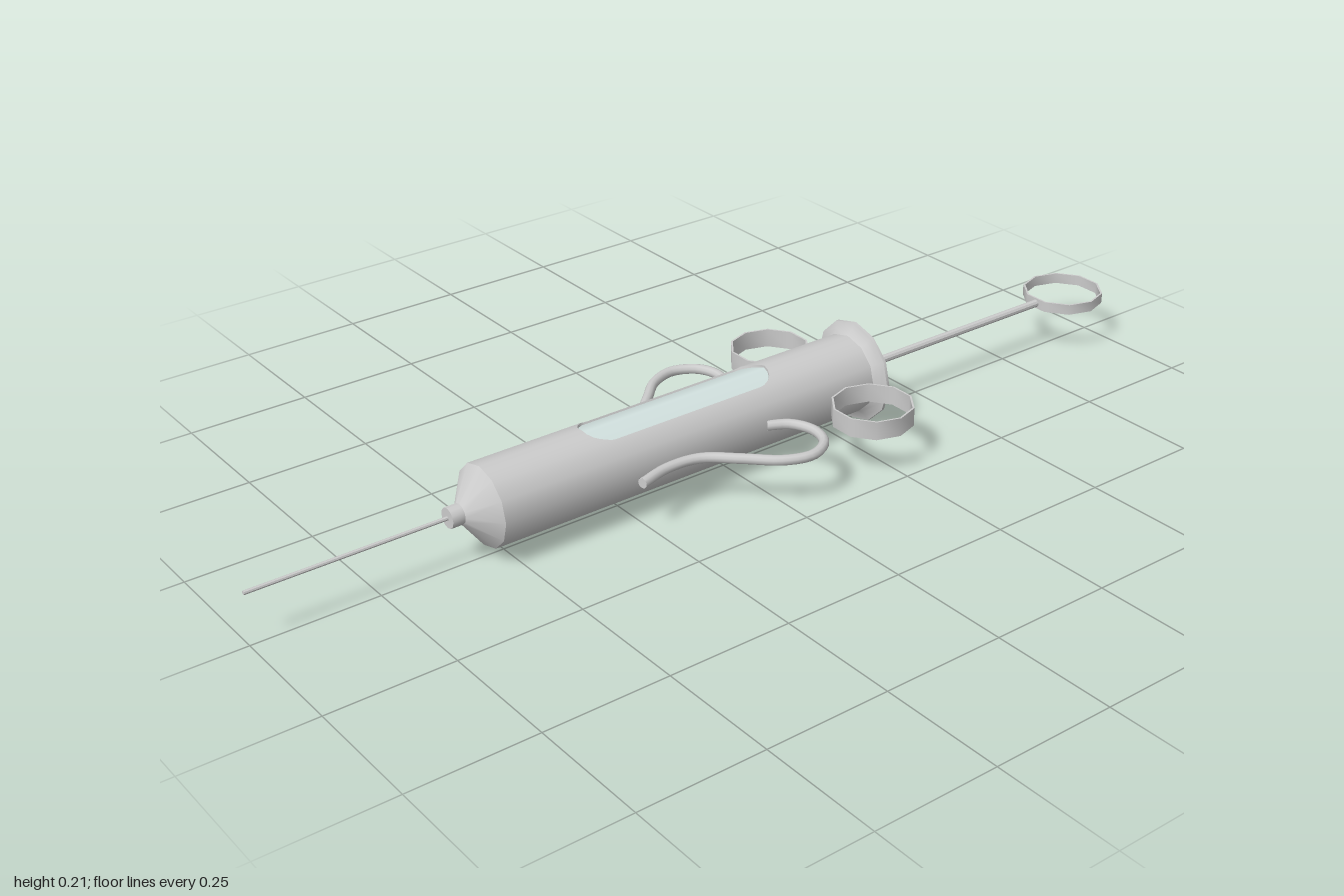
import * as THREE from 'three';
import { toCreasedNormals } from 'three/addons/utils/BufferGeometryUtils.js';
import { ParametricGeometry } from 'three/addons/geometries/ParametricGeometry.js';

const AXIS = 0.105, R = 0.08, BACK = -0.32, FRONT = 0.54;
const rad = THREE.MathUtils.degToRad;
const metal = new THREE.MeshStandardMaterial({ color: 0xcccccc, side: THREE.DoubleSide });
const glass = new THREE.MeshStandardMaterial({ color: 0xd3e2e0, side: THREE.DoubleSide });

function add(parent, name, geometry, material = metal) {
  const mesh = new THREE.Mesh(geometry, material);
  mesh.name = name;
  parent.add(mesh);
  return mesh;
}

// Turned part along z, profile given as [radius, z] from back to front
function turned(profile, sides = 12) {
  const g = new THREE.LatheGeometry(profile.map(([r, z]) => new THREE.Vector2(r, z)), sides);
  g.rotateX(Math.PI / 2);
  g.translate(0, AXIS, 0);
  return toCreasedNormals(g, 0.6);
}

// Point on the twelve-sided tube, angle in degrees from the top
function onTube(a, z, r, target) {
  const local = (((a % 30) + 30) % 30) - 15;
  const d = r * Math.cos(rad(15)) / Math.cos(rad(local));
  return target.set(d * Math.sin(rad(a)), AXIS + d * Math.cos(rad(a)), z);
}

// Curved panel across a list of angles, between two z limits
function panel(angles, zFront, zBack, r) {
  const n = angles.length - 1;
  const g = new ParametricGeometry((u, v, t) => {
    const a = angles[Math.round(u * n)];
    onTube(a, THREE.MathUtils.lerp(zFront(a), zBack(a), v), r, t);
  }, n, 1);
  const p = g.attributes.position;
  for (let i = 0; i < p.count; i++) {
    const x = p.getX(i), y = p.getY(i) - AXIS, l = Math.hypot(x, y);
    g.attributes.normal.setXYZ(i, x / l, y / l, 0);
  }
  return g;
}

// Thin band ring lying flat
function bandRing(r, height, x, z) {
  const t = 0.004, h = height / 2;
  const pts = [[r - t, -h], [r, -h], [r, h], [r - t, h], [r - t, -h]];
  const g = new THREE.LatheGeometry(pts.map(p => new THREE.Vector2(...p)), 10, Math.PI / 2);
  g.translate(x, AXIS, z);
  return toCreasedNormals(g, 0.7);
}

export function createModel() {
  const model = new THREE.Group();
  model.name = 'syringe';

  // Barrel with a round-ended window slot in the top
  const barrel = new THREE.Group();
  barrel.name = 'barrel';
  model.add(barrel);
  const EDGE = 34;
  const slotAngles = [-34, -33, -30, -26, -20, -10, 0, 10, 20, 26, 30, 33, 34];
  const bodyAngles = [EDGE];
  for (let a = 60; a <= 300; a += 30) bodyAngles.push(a);
  bodyAngles.push(360 - EDGE);
  const probe = new THREE.Vector3();
  const half = onTube(EDGE, 0, R, probe).x;
  const bulge = a => Math.sqrt(Math.max(0, half ** 2 - onTube(a, 0, R, probe).x ** 2));
  const slotFront = a => 0.28 + bulge(a);
  const slotBack = a => -0.055 - bulge(a);
  const front = () => FRONT, back = () => BACK;
  add(barrel, 'barrelBody', panel(bodyAngles, front, back, R));
  add(barrel, 'barrelTopFront', panel(slotAngles, front, slotFront, R));
  add(barrel, 'barrelTopBack', panel(slotAngles, slotBack, back, R));

  // Wall thickness around the slot
  const outline = [
    ...slotAngles.map(a => [a, slotFront(a)]),
    ...slotAngles.slice().reverse().map(a => [a, slotBack(a)]),
  ];
  outline.push(outline[0]);
  const n = outline.length - 1;
  const rim = new ParametricGeometry((u, v, t) => {
    const [a, z] = outline[Math.round(u * n)];
    onTube(a, z, R - 0.005 * v, t);
  }, n, 1);
  add(barrel, 'slotRim', toCreasedNormals(rim, 0.6));

  // Window glass just under the slot
  add(model, 'windowGlass', panel([-45, -30, 0, 30, 45], () => 0.34, () => -0.115, R - 0.005), glass);

  // Tapered nose, nozzle and needle
  add(model, 'nose', turned([[R, FRONT], [0.02, 0.585], [0, 0.585]]));
  add(model, 'nozzle', turned([[0, 0.57], [0.02, 0.57], [0.02, 0.61], [0, 0.61]]));
  add(model, 'needle', turned([[0.004, 0.6], [0.004, 1], [0, 1]], 8));

  // Back flange
  add(model, 'flange', turned([
    [0, -0.331], [0.104, -0.331], [0.104, -0.325], [0.09, -0.32], [R, -0.31],
  ]));

  // Plunger
  add(model, 'plungerRod', turned([[0, -0.842], [0.008, -0.842], [0.008, -0.32]], 10));
  add(model, 'thumbRing', bandRing(0.084, 0.022, 0, -0.92));

  // Finger rings and bent wire grips on both sides
  const wire = [[0.11, 0.27], [0.092, 0.2], [0.1, 0.13], [0.15, 0.07], [0.2, 0.015],
    [0.217, -0.04], [0.192, -0.088], [0.145, -0.103], [0.1, -0.085], [0.076, -0.045]];
  for (const [side, s] of [['left', 1], ['right', -1]]) {
    add(model, side + 'FingerRing', bandRing(0.081, 0.038, s * 0.156, -0.24));
    const curve = new THREE.CatmullRomCurve3(wire.map(([x, z]) => new THREE.Vector3(s * x, AXIS, z)));
    const grip = new THREE.Group();
    grip.name = side + 'WireGrip';
    model.add(grip);
    add(grip, 'wire', new THREE.TubeGeometry(curve, 40, 0.01, 10));
    const cap = add(grip, 'wireEnd', new THREE.CircleGeometry(0.01, 10));
    cap.position.copy(curve.getPoint(0));
    cap.lookAt(cap.position.clone().sub(curve.getTangent(0)));
  }
  return model;
}
